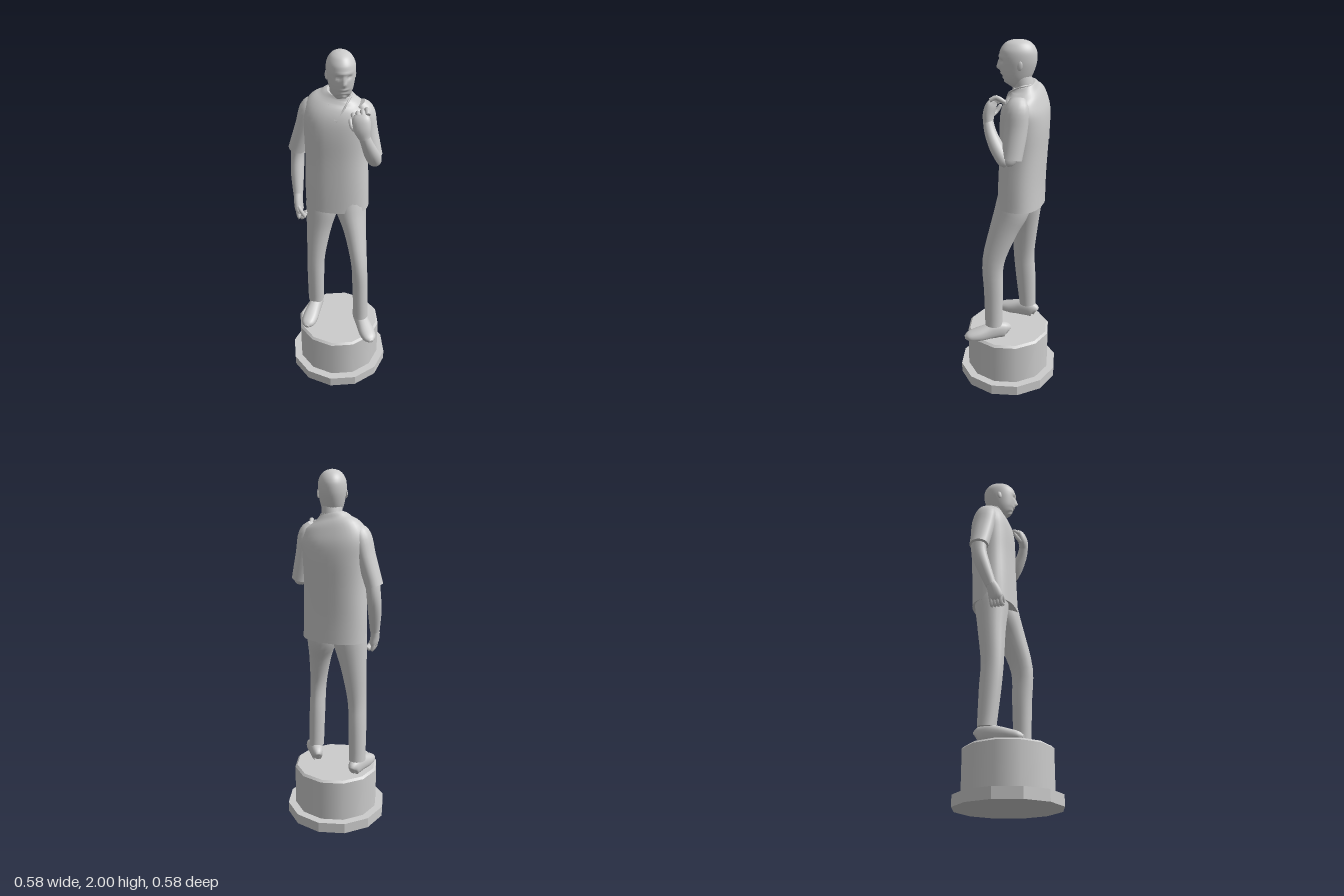
import * as THREE from 'three';

const grey = new THREE.MeshStandardMaterial({ color: 0xcccccc });
grey.name = 'stone grey';

const FRONT = new THREE.Vector3(0, 0, 1);
const UP = new THREE.Vector3(0, 1, 0);

// Smooth body through rings [x, y, z, halfWidth, halfDepth]; depth runs along ref
function loft(name, rings, { ref = FRONT, sides = 20, steps = 4, power = 2, floor = -1 } = {}) {
  const path = new THREE.CatmullRomCurve3(rings.map(r => new THREE.Vector3(r[0], r[1], r[2])), false, 'catmullrom', 0.5);
  const size = new THREE.CatmullRomCurve3(rings.map(r => new THREE.Vector3(r[3], r[4], 0)), false, 'catmullrom', 0.5);
  const n = (rings.length - 1) * steps;
  const pos = [], index = [];
  const bend = v => Math.sign(v) * Math.abs(v) ** (2 / power);
  const addRing = t => {
    const c = path.getPoint(t), s = size.getPoint(t), T = path.getTangent(t);
    const U = ref.clone().addScaledVector(T, -T.dot(ref)).normalize();
    const V = new THREE.Vector3().crossVectors(T, U);
    for (let j = 0; j < sides; j++) {
      const a = (j / sides) * Math.PI * 2;
      const p = c.clone().addScaledVector(V, bend(Math.cos(a)) * s.x).addScaledVector(U, bend(Math.sin(a)) * s.y);
      pos.push(p.x, Math.max(p.y, floor), p.z);
    }
    return c;
  };
  for (let i = 0; i <= n; i++) addRing(i / n);
  for (let i = 0; i < n; i++) {
    for (let j = 0; j < sides; j++) {
      const a = i * sides + j, c = i * sides + (j + 1) % sides;
      index.push(a, a + sides, c, a + sides, c + sides, c);
    }
  }
  // Separate end caps keep hems crisp
  for (const end of [0, 1]) {
    const base = pos.length / 3;
    const c = addRing(end);
    pos.push(c.x, Math.max(c.y, floor), c.z);
    for (let j = 0; j < sides; j++) {
      const a = base + j, b = base + (j + 1) % sides, m = base + sides;
      if (end) index.push(m, b, a); else index.push(m, a, b);
    }
  }
  const g = new THREE.BufferGeometry();
  g.setAttribute('position', new THREE.Float32BufferAttribute(pos, 3));
  g.setIndex(index);
  g.computeVertexNormals();
  const mesh = new THREE.Mesh(g, grey);
  mesh.name = name;
  return mesh;
}

// Finger through three joints with a rounded tip
function finger(name, a, b, c, r) {
  return loft(name, [[...a, r, r], [...b, r, r], [...c, r * 0.8, r * 0.8],
    [...c.map((v, k) => v + (v - b[k]) * 0.2), r * 0.2, r * 0.2]], { ref: new THREE.Vector3(0.9, 0.3, 0.2), sides: 8, steps: 3 });
}

function makeBase() {
  const base = new THREE.Group();
  base.name = 'base';
  const flat = new THREE.CylinderGeometry(0.29, 0.29, 0.06, 12).toNonIndexed();
  flat.computeVertexNormals();
  const plinth = new THREE.Mesh(flat, grey);
  plinth.name = 'plinth';
  plinth.position.y = 0.03;
  const drum = new THREE.Mesh(new THREE.CylinderGeometry(0.245, 0.245, 0.235, 12, 1, true), grey);
  drum.name = 'drum';
  drum.position.y = 0.1775;
  const bevel = new THREE.Mesh(new THREE.CylinderGeometry(0.233, 0.245, 0.012, 12), grey);
  bevel.name = 'drumTop';
  bevel.position.y = 0.301;
  base.add(plinth, drum, bevel);
  return base;
}

function makeHead() {
  const head = new THREE.Group();
  head.name = 'head';
  const skull = loft('skull', [
    [0, 1.768, 0.035, 0.022, 0.035], [0, 1.782, 0.026, 0.042, 0.057], [0, 1.81, 0.014, 0.057, 0.074],
    [0, 1.85, 0.004, 0.067, 0.088], [0, 1.9, -0.003, 0.074, 0.097], [0, 1.945, -0.004, 0.071, 0.093],
    [0, 1.978, -0.004, 0.053, 0.071], [0, 1.994, -0.004, 0.03, 0.042], [0, 2.0, -0.004, 0.004, 0.006],
  ], { sides: 48, steps: 6 });
  // Facial relief: [x, y, width, height, push]
  const relief = [
    [0, 1.862, 0.009, 0.014, 0.018], [0, 1.885, 0.008, 0.014, 0.008],
    [0.028, 1.895, 0.012, 0.009, -0.011], [-0.028, 1.895, 0.012, 0.009, -0.011],
    [0, 1.917, 0.045, 0.007, 0.004], [0, 1.831, 0.02, 0.005, 0.005],
    [0, 1.817, 0.02, 0.005, -0.003], [0, 1.79, 0.018, 0.01, 0.005],
  ];
  const p = skull.geometry.attributes.position;
  for (let i = 0; i < p.count; i++) {
    if (p.getZ(i) < 0.03) continue;
    let push = 0;
    for (const [x, y, w, h, d] of relief) {
      push += d * Math.exp(-(((p.getX(i) - x) / w) ** 2) - ((p.getY(i) - y) / h) ** 2);
    }
    p.setZ(i, p.getZ(i) + push);
  }
  skull.geometry.computeVertexNormals();
  head.add(skull);
  for (const s of [-1, 1]) {
    const ear = new THREE.Mesh(new THREE.SphereGeometry(1, 14, 10), grey);
    ear.name = s > 0 ? 'leftEar' : 'rightEar';
    ear.scale.set(0.007, 0.024, 0.014);
    ear.position.set(s * 0.072, 1.878, -0.01);
    ear.rotation.set(-0.15, s * -0.25, 0);
    head.add(ear);
  }
  head.position.set(0.002, 0, -0.05);
  head.rotation.y = 0.35;
  return head;
}

export function createModel() {
  const model = new THREE.Group();
  model.name = 'statue';
  model.add(makeBase(), makeHead());

  // Neck, shirt and collar
  model.add(loft('neck', [[-0.012, 1.68, -0.085, 0.065, 0.06], [-0.008, 1.76, -0.08, 0.056, 0.054],
    [0, 1.84, -0.06, 0.053, 0.055]]));
  model.add(loft('shirt', [
    [-0.02, 1.11, -0.07, 0.175, 0.12], [-0.023, 1.25, -0.073, 0.174, 0.118], [-0.026, 1.42, -0.08, 0.169, 0.119],
    [-0.026, 1.56, -0.085, 0.175, 0.122], [-0.026, 1.65, -0.088, 0.18, 0.114], [-0.022, 1.715, -0.09, 0.155, 0.09],
    [-0.016, 1.753, -0.087, 0.1, 0.067], [-0.01, 1.778, -0.083, 0.066, 0.057],
  ], { sides: 36, power: 2.4 }));
  const collarPath = new THREE.CatmullRomCurve3([[-0.01, 1.778, -0.14], [-0.07, 1.772, -0.09], [-0.058, 1.735, -0.018],
    [-0.012, 1.655, 0.022], [0.036, 1.735, -0.018], [0.052, 1.772, -0.09]].map(v => new THREE.Vector3(...v)), true, 'catmullrom', 0.25);
  const collar = new THREE.Mesh(new THREE.TubeGeometry(collarPath, 48, 0.005, 6, true), grey);
  collar.name = 'collar';
  model.add(collar);

  // Trouser legs
  model.add(loft('rightLeg', [
    [-0.1, 1.2, -0.07, 0.09, 0.09], [-0.105, 1.1, -0.065, 0.093, 0.094], [-0.125, 0.95, -0.058, 0.072, 0.078],
    [-0.143, 0.75, -0.047, 0.053, 0.063], [-0.15, 0.6, -0.055, 0.05, 0.06], [-0.155, 0.385, -0.07, 0.047, 0.05],
  ]));
  model.add(loft('leftLeg', [
    [0.05, 1.2, -0.06, 0.085, 0.09], [0.062, 1.1, -0.045, 0.085, 0.096], [0.092, 0.98, -0.005, 0.062, 0.08],
    [0.126, 0.79, 0.045, 0.045, 0.064], [0.135, 0.6, 0.042, 0.045, 0.056], [0.142, 0.385, 0.04, 0.044, 0.05],
  ]));

  // Shoes, flattened at the sole: heel and toe as [x, z]
  for (const [name, heel, toe] of [['rightShoe', [-0.145, -0.125], [-0.178, 0.13]], ['leftShoe', [0.105, -0.035], [0.23, 0.188]]]) {
    const at = (t, y, w, h) => [heel[0] + (toe[0] - heel[0]) * t, y, heel[1] + (toe[1] - heel[1]) * t, w, h];
    model.add(loft(name, [at(0, 0.335, 0.012, 0.025), at(0.06, 0.345, 0.031, 0.045), at(0.25, 0.35, 0.038, 0.05),
      at(0.45, 0.34, 0.041, 0.046), at(0.7, 0.327, 0.046, 0.037), at(0.9, 0.319, 0.037, 0.026), at(1, 0.315, 0.012, 0.01)],
    { ref: UP, floor: 0.306, power: 2.3 }));
  }

  // Right arm, hanging down
  model.add(loft('rightSleeve', [[-0.14, 1.72, -0.085, 0.03, 0.04], [-0.17, 1.67, -0.087, 0.052, 0.064],
    [-0.2, 1.57, -0.093, 0.05, 0.064], [-0.25, 1.42, -0.1, 0.046, 0.055]]));
  model.add(loft('rightArm', [[-0.235, 1.48, -0.1, 0.038, 0.045], [-0.246, 1.38, -0.1, 0.037, 0.044],
    [-0.245, 1.28, -0.072, 0.036, 0.04], [-0.235, 1.16, -0.03, 0.026, 0.03]]));
  model.add(loft('rightHand', [[-0.236, 1.18, -0.035, 0.025, 0.028], [-0.232, 1.13, -0.015, 0.024, 0.036],
    [-0.224, 1.085, -0.005, 0.022, 0.04], [-0.218, 1.065, -0.003, 0.01, 0.025]]));
  for (let i = 0; i < 4; i++) {
    const z = -0.033 + i * 0.018;
    model.add(finger('rightFinger', [-0.23, 1.085, z], [-0.218, 1.045, z + 0.004], [-0.188, 1.06, z + 0.006], 0.011));
  }
  model.add(finger('rightThumb', [-0.228, 1.12, 0.015], [-0.205, 1.09, 0.028], [-0.188, 1.06, 0.028], 0.011));

  // Left arm, raised with the hand at the chest
  model.add(loft('leftSleeve', [[0.095, 1.72, -0.085, 0.03, 0.04], [0.122, 1.67, -0.09, 0.05, 0.064],
    [0.14, 1.57, -0.09, 0.05, 0.062], [0.176, 1.425, -0.08, 0.046, 0.056]]));
  model.add(loft('leftUpperArm', [[0.165, 1.47, -0.085, 0.038, 0.044], [0.183, 1.415, -0.064, 0.036, 0.038],
    [0.188, 1.393, -0.055, 0.015, 0.016]]));
  model.add(loft('leftForearm', [[0.19, 1.39, -0.06, 0.018, 0.018], [0.186, 1.415, -0.045, 0.037, 0.036],
    [0.172, 1.48, 0.003, 0.039, 0.037], [0.155, 1.55, 0.042, 0.032, 0.031], [0.138, 1.61, 0.062, 0.028, 0.026]]));
  model.add(loft('leftHand', [[0.142, 1.595, 0.06, 0.029, 0.026], [0.13, 1.64, 0.06, 0.044, 0.028],
    [0.122, 1.685, 0.048, 0.047, 0.025], [0.118, 1.71, 0.034, 0.035, 0.014]]));
  for (let i = 0; i < 4; i++) {
    model.add(finger('leftFinger', [0.086 + i * 0.023, 1.683 + i * 0.011, 0.043], [0.076 + i * 0.023, 1.698 + i * 0.011, 0.012],
      [0.068 + i * 0.022, 1.675 + i * 0.012, -0.008 - i * 0.006], 0.0115));
  }
  model.add(finger('leftThumb', [0.105, 1.625, 0.055], [0.075, 1.64, 0.04], [0.062, 1.67, 0.022], 0.012));
  return model;
}
